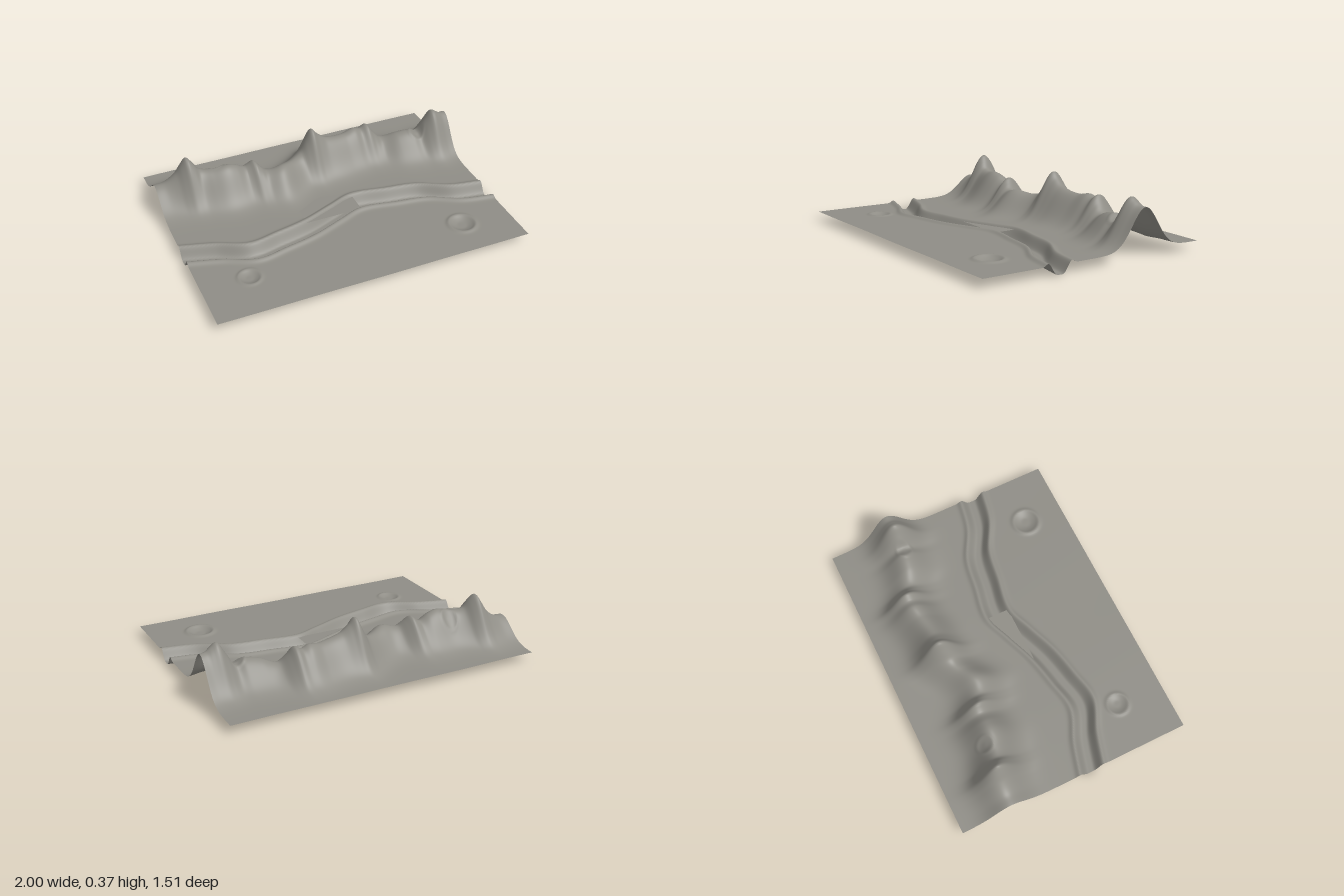
import * as THREE from 'three';

const BASE = 0.063;

// Smooth curve through [x, value] points (cubic Hermite)
function curve(p) {
  const slope = (i) => {
    const a = p[Math.max(i - 1, 0)], b = p[Math.min(i + 1, p.length - 1)];
    return (b[1] - a[1]) / (b[0] - a[0]);
  };
  return (x) => {
    let i = 0;
    while (i < p.length - 2 && x > p[i + 1][0]) i++;
    const [x0, y0] = p[i], [x1, y1] = p[i + 1], w = x1 - x0, t = (x - x0) / w;
    const t2 = t * t, t3 = t2 * t;
    return (2 * t3 - 3 * t2 + 1) * y0 + (t3 - 2 * t2 + t) * w * slope(i)
      + (3 * t2 - 2 * t3) * y1 + (t3 - t2) * w * slope(i + 1);
  };
}

// Mountain crest: height and plan position along x
const crestY = curve([[-1, 0.2], [-0.93, 0.21], [-0.86, 0.265], [-0.82, 0.33], [-0.79, 0.37], [-0.755, 0.335],
  [-0.72, 0.285], [-0.65, 0.275], [-0.55, 0.29], [-0.49, 0.275], [-0.43, 0.243], [-0.4, 0.258], [-0.37, 0.28],
  [-0.34, 0.25], [-0.3, 0.213], [-0.2, 0.23], [-0.1, 0.213], [-0.03, 0.235], [0.01, 0.305], [0.05, 0.375],
  [0.09, 0.335], [0.15, 0.29], [0.29, 0.267], [0.37, 0.28], [0.42, 0.265], [0.465, 0.288], [0.5, 0.24],
  [0.55, 0.19], [0.65, 0.22], [0.74, 0.23], [0.8, 0.215], [0.85, 0.295], [0.89, 0.355], [0.93, 0.335],
  [0.96, 0.315], [1, 0.31]]);
const crestZ = curve([[-1, -0.44], [-0.8, -0.425], [-0.6, -0.36], [-0.4, -0.36], [-0.22, -0.29], [0, -0.4],
  [0.2, -0.41], [0.46, -0.445], [0.62, -0.365], [0.8, -0.335], [0.9, -0.33], [1, -0.345]]);

// Canyon centre line
const canyonZ = curve([[-1, 0.115], [-0.8, 0.175], [-0.6, 0.257], [-0.4, 0.225], [-0.2, 0.18], [0, 0.105],
  [0.17, 0.047], [0.4, 0.08], [0.6, 0.115], [0.8, 0.215], [1, 0.257]]);

// Craters: x, z, radius, depth
const craters = [[-0.7, 0.455, 0.068, 0.011], [0.68, 0.505, 0.085, 0.015],
  [-0.61, -0.42, 0.05, 0.007], [0.78, -0.325, 0.05, 0.007]];

function heightAt(x, z) {
  let h = BASE + 0.0015 * Math.sin(5 * x + 1.3 * z) * Math.cos(4 * z - 3 * x);
  // Mountain ridge
  h += (crestY(x) - BASE) * Math.exp(-0.5 * ((z - crestZ(x)) / 0.095) ** 2);
  // Canyon trough with raised rims
  const d = Math.abs(z - canyonZ(x));
  h -= 0.055 * (1 - THREE.MathUtils.smoothstep(d, 0.018, 0.074));
  h += 0.016 * Math.exp(-(((d - 0.082) / 0.02) ** 2));
  // Crater bowls and rims
  for (const [cx, cz, r, depth] of craters) {
    const q = Math.hypot(x - cx, z - cz) / r;
    if (q < 2) {
      h -= depth * (1 - THREE.MathUtils.smoothstep(q, 0.3, 0.95));
      h += depth * 0.6 * Math.exp(-(((q - 1) / 0.17) ** 2));
    }
  }
  return Math.max(h, 0);
}

export function createModel() {
  const model = new THREE.Group();
  model.name = 'canyonTerrain';
  const rock = new THREE.MeshStandardMaterial({ color: 0x8f8d86, side: THREE.DoubleSide });
  rock.name = 'grey rock';

  // Terrain sheet
  const geo = new THREE.PlaneGeometry(2, 1.515, 220, 200).rotateX(-Math.PI / 2);
  const pos = geo.attributes.position;
  for (let i = 0; i < pos.count; i++) pos.setY(i, heightAt(pos.getX(i), pos.getZ(i)));
  geo.computeVertexNormals();
  const terrain = new THREE.Mesh(geo, rock);
  terrain.name = 'terrain';
  model.add(terrain);

  // Flat landing slab spanning the canyon
  const slab = new THREE.Mesh(new THREE.PlaneGeometry(0.37, 0.23).rotateX(-Math.PI / 2), rock);
  slab.name = 'landingSlab';
  slab.position.set(-0.015, 0.064, 0.005);
  model.add(slab);

  return model;
}
